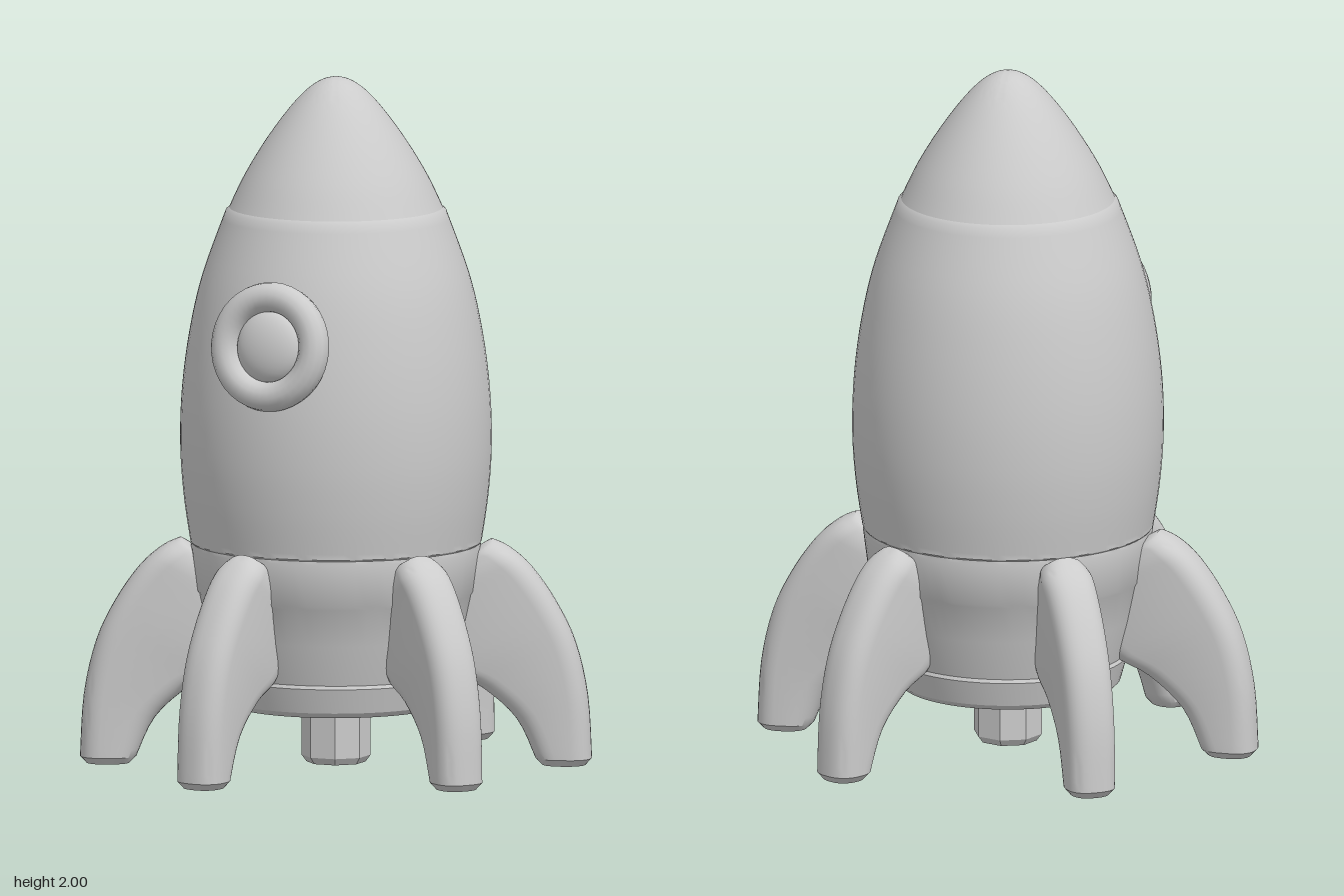
import * as THREE from 'three';
import { toCreasedNormals } from 'three/addons/utils/BufferGeometryUtils.js';

const material = new THREE.MeshStandardMaterial({ color: 0xcccccc });
const v2 = ([x, y]) => new THREE.Vector2(x, y);

function addMesh(parent, name, geometry, mat = material) {
  const mesh = new THREE.Mesh(geometry, mat);
  mesh.name = name;
  parent.add(mesh);
  return mesh;
}

// Lathe from a list of [radius, height] points, running from bottom to top
function lathe(points, segments = 72, crease = 0.5) {
  return toCreasedNormals(new THREE.LatheGeometry(points.map(v2), segments), crease);
}

// Smooth run of profile points
const smooth = (points, n) => new THREE.SplineCurve(points.map(v2)).getPoints(n).map((p) => [p.x, p.y]);

// Curved fin: round-ended sections, thinner towards the hull, swept between its
// inner and outer edge; reach scales the part that stands out from the hull
function finGeometry(reach) {
  const edge = (points) => new THREE.SplineCurve(points.map(([x, y]) => v2([0.4 + (x - 0.4) * reach, y])));
  const inner = edge([[0.38, 0.61], [0.3, 0.53], [0.27, 0.41], [0.31, 0.285], [0.42, 0.225], [0.52, 0.135], [0.575, 0.02]]);
  const outer = edge([[0.45, 0.656], [0.5, 0.632], [0.565, 0.575], [0.635, 0.475], [0.692, 0.355], [0.727, 0.2], [0.738, 0.02]]);
  const foot = edge([[0.595, 0], [0.72, 0]]).points;
  const rows = 24, around = 32;
  const positions = [], index = [];

  const addRing = (a, b, halfWidth, thin) => {
    const length = a.distanceTo(b);
    const end = Math.min(0.07, length / 2) / length;
    for (let j = 0; j < around; j++) {
      const t = ((j + 0.5) / around) * Math.PI * 2;
      const round = (c) => Math.sign(c) * Math.pow(Math.abs(c), 0.8);
      const c = round(Math.cos(t));
      const s = c > 0 ? 1 - end + end * c : end + end * c;
      const width = halfWidth * THREE.MathUtils.lerp(thin, 1, Math.min(1, s / (1 - end)));
      positions.push(a.x + (b.x - a.x) * s, a.y + (b.y - a.y) * s, width * round(Math.sin(t)));
    }
  };
  for (let i = 0; i <= rows; i++) {
    const t = i / rows;
    const halfWidth = 0.08 * Math.min(1, 0.45 + 0.55 * Math.sqrt(t / 0.22)) - 0.008 * t;
    addRing(inner.getPoint(t), outer.getPoint(t), halfWidth, 0.5 + 0.4 * t);
  }
  addRing(foot[0], foot[1], 0.055, 0.9);

  const last = rows + 1;
  for (let i = 0; i < last; i++) {
    for (let j = 0; j < around; j++) {
      const k = (j + 1) % around;
      const a = i * around + j, b = i * around + k;
      const c = a + around, d = b + around;
      index.push(a, b, c, b, d, c);
    }
  }
  // End caps
  const top = positions.length / 3;
  positions.push(0.415, 0.638, 0, (foot[0].x + foot[1].x) / 2, 0, 0);
  for (let j = 0; j < around; j++) {
    const k = (j + 1) % around;
    index.push(top, k, j, top + 1, last * around + j, last * around + k);
  }
  const geometry = new THREE.BufferGeometry();
  geometry.setAttribute('position', new THREE.Float32BufferAttribute(positions, 3));
  geometry.setIndex(index);
  return toCreasedNormals(geometry, 0.6);
}

export function createModel() {
  const rocket = new THREE.Group();
  rocket.name = 'rocket';

  // Hull with its base plate, recess and lower bands
  addMesh(rocket, 'hull', lathe([
    [0, 0.23], [0.16, 0.23], [0.16, 0.175], [0.31, 0.175], [0.325, 0.19], [0.345, 0.262],
    [0.34, 0.272], [0.372, 0.39], [0.396, 0.5], [0.402, 0.51], [0.418, 0.635], [0.416, 0.645],
    ...smooth([[0.42, 0.65], [0.439, 0.78], [0.449, 0.92], [0.445, 1.08], [0.424, 1.25], [0.386, 1.42], [0.318, 1.61]], 32),
    [0.308, 1.62],
  ]));

  // Rounded nose
  addMesh(rocket, 'noseCone', lathe(
    smooth([[0.31, 1.615], [0.265, 1.71], [0.205, 1.81], [0.14, 1.9], [0.085, 1.96], [0.04, 1.99], [0, 2]], 28), 72, 1));

  // Engine nozzle below the base
  const nozzleMaterial = material.clone();
  nozzleMaterial.flatShading = true;
  addMesh(rocket, 'nozzle', lathe([[0, 0.005], [0.085, 0.005], [0.1, 0.025], [0.1, 0.235]], 8, 0.2), nozzleMaterial);

  // Spokes joining the nozzle to the base
  for (let i = 0; i < 4; i++) {
    const a = (i + 0.5) * Math.PI / 2;
    const spoke = addMesh(rocket, 'nozzleSpoke', new THREE.BoxGeometry(0.09, 0.05, 0.1));
    spoke.position.set(Math.cos(a) * 0.13, 0.205, Math.sin(a) * 0.13);
    spoke.rotation.y = -a;
  }

  // Six fins: the side pair reaches a little further out than the other four
  const sideFin = finGeometry(1), diagonalFin = finGeometry(0.9);
  for (const degrees of [0, 55, 125, 180, 235, 305]) {
    const fin = addMesh(rocket, 'fin', degrees % 180 ? diagonalFin : sideFin);
    fin.rotation.y = THREE.MathUtils.degToRad(degrees);
  }

  // Porthole on the front right of the hull
  const porthole = new THREE.Group();
  porthole.name = 'porthole';
  porthole.position.set(-0.177, 1.265, 0.382);
  porthole.rotation.set(-0.14, -0.46, 0, 'YXZ');
  rocket.add(porthole);
  addMesh(porthole, 'portholeRim', new THREE.TorusGeometry(0.143, 0.044, 14, 40));
  const glass = addMesh(porthole, 'portholeGlass', new THREE.SphereGeometry(0.105, 32, 16));
  glass.scale.z = 0.45;

  return rocket;
}
